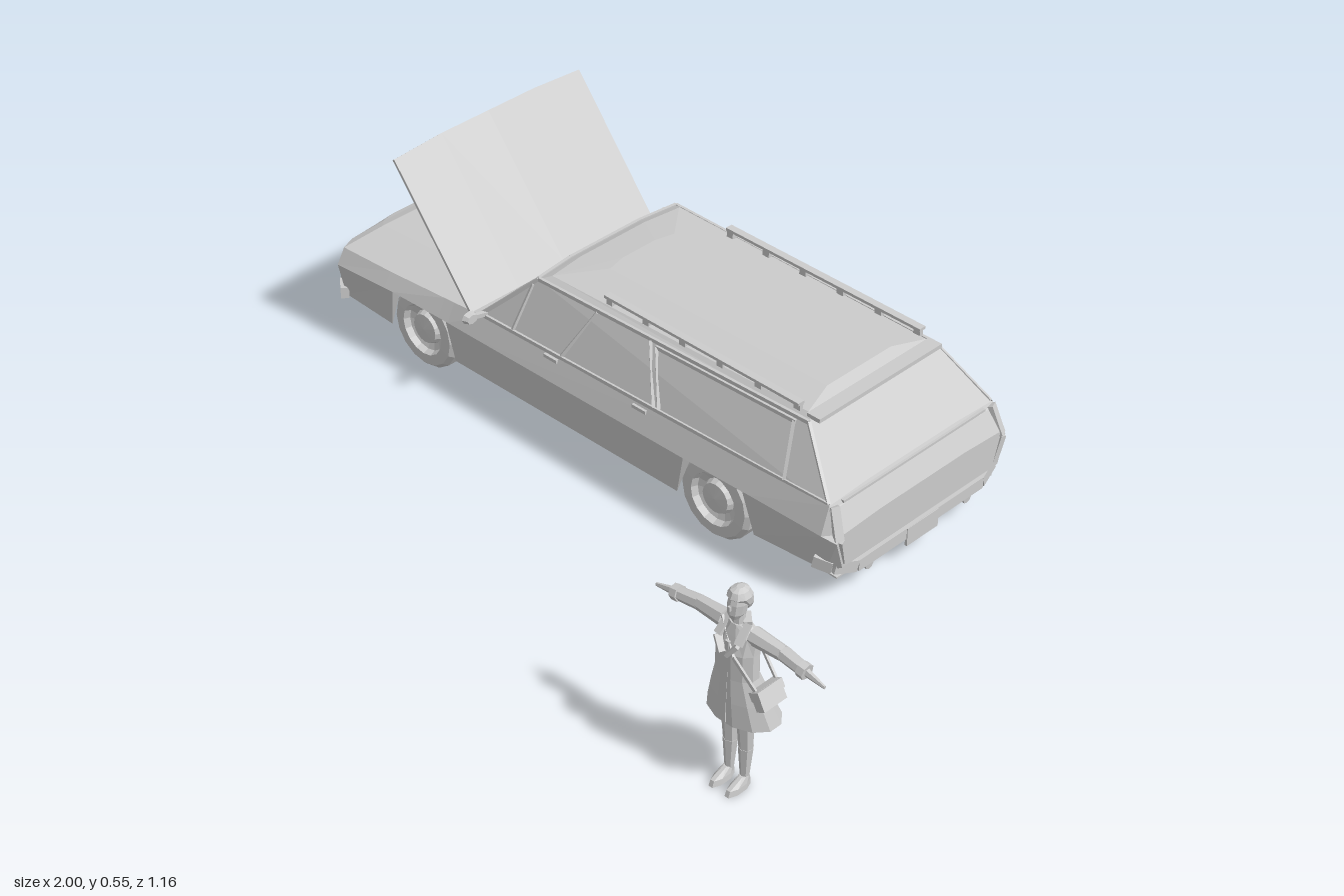
import * as THREE from 'three';

const mat = new THREE.MeshStandardMaterial({ color: 0xcccccc, flatShading: true, side: THREE.DoubleSide });
const V = (x, y, z) => new THREE.Vector3(x, y, z);

function add(parent, name, geo, x = 0, y = 0, z = 0) {
  const m = new THREE.Mesh(geo, mat);
  m.name = name;
  m.position.set(x, y, z);
  parent.add(m);
  return m;
}
const box = (p, name, w, h, d, x, y, z) => add(p, name, new THREE.BoxGeometry(w, h, d), x, y, z);

// Skin rings of [x, y, z] points, optionally joined round and capped with fans
function loft(rings, closed = true, capStart = true, capEnd = true) {
  const n = rings[0].length, pos = rings.flat(2), idx = [];
  for (let i = 0; i < rings.length - 1; i++)
    for (let j = 0; j < (closed ? n : n - 1); j++) {
      const a = i * n + j, b = i * n + (j + 1) % n;
      idx.push(a, a + n, b + n, a, b + n, b);
    }
  const cap = (r) => {
    const c = pos.length / 3;
    for (let k = 0; k < 3; k++) pos.push(rings[r].reduce((s, p) => s + p[k], 0) / n);
    for (let j = 0; j < n; j++) {
      const a = r * n + j, b = r * n + (j + 1) % n;
      if (r) idx.push(a, c, b); else idx.push(a, b, c);
    }
  };
  if (capStart) cap(0);
  if (capEnd) cap(rings.length - 1);
  const g = new THREE.BufferGeometry();
  g.setAttribute('position', new THREE.Float32BufferAttribute(pos, 3));
  g.setIndex(idx);
  g.computeVertexNormals();
  return g;
}

// Square bar from a to b
function bar(p, name, a, b, w, h) {
  const m = add(p, name, new THREE.BoxGeometry(w, h, a.distanceTo(b)));
  m.position.copy(a).lerp(b, 0.5);
  m.lookAt(b);
  return m;
}
// Chain of bars through points
const barPath = (p, name, pts, w, h) => pts.slice(1).forEach((q, i) => bar(p, name, pts[i], q, w, h));

// Tapered round limb from a to b
function limb(p, name, a, b, r0, r1, sides = 7) {
  const m = add(p, name, new THREE.CylinderGeometry(r1, r0, a.distanceTo(b), sides));
  m.position.copy(a).lerp(b, 0.5);
  m.quaternion.setFromUnitVectors(V(0, 1, 0), b.clone().sub(a).normalize());
  return m;
}

function makeCar() {
  const car = new THREE.Group();
  car.name = 'stationWagon';

  // Open-bottomed body shell: x, crease half width, bottom y, crease y, belt y
  const sections = [
    [-0.99, 0.15, 0.1, 0.16, 0.19], [-0.975, 0.24, 0.095, 0.163, 0.195], [-0.945, 0.288, 0.08, 0.17, 0.207],
    [-0.78, 0.291, 0.075, 0.183, 0.217], [-0.75, 0.291, 0.17, 0.185, 0.219],
    [-0.595, 0.291, 0.17, 0.188, 0.23], [-0.565, 0.291, 0.075, 0.188, 0.232],
    [-0.47, 0.291, 0.075, 0.188, 0.24], [0.13, 0.291, 0.075, 0.19, 0.245],
    [0.165, 0.291, 0.17, 0.19, 0.245], [0.315, 0.289, 0.17, 0.19, 0.247],
    [0.35, 0.288, 0.076, 0.19, 0.248], [0.545, 0.282, 0.085, 0.185, 0.25],
    [0.578, 0.27, 0.105, 0.175, 0.19]].map(([x, w, yb, yc, yt]) => {
    const half = [[yb, w - 0.02], [yc, w], [yt, w - 0.022], [yt + 0.006, w * 0.5]];
    return [...half.map(([y, z]) => [x, y, z]), ...half.reverse().map(([y, z]) => [x, y, -z])];
  });
  add(car, 'nose', loft(sections.slice(0, 8), false, true, false));
  add(car, 'tailgate', loft(sections.slice(12), false, false, true));
  for (const k of [0, 5])
    add(car, 'bodySide', loft(sections.slice(7, 13).map((r) => r.slice(k, k + 3)), false, false, false));
  bar(car, 'rearTray', V(0.33, 0.08, 0), V(0.565, 0.07, 0), 0.5, 0.004);

  // Cabin: y, rear x, front x, rear and front half width
  add(car, 'cabin', loft([[0.24, 0.552, -0.485, 0.262, 0.27], [0.37, 0.435, -0.345, 0.198, 0.216],
    [0.382, 0.415, -0.32, 0.185, 0.198], [0.392, 0.39, -0.24, 0.1, 0.1]].map(([y, r, f, wr, wf]) =>
    [[r, wr], [f, wf], [f - 0.012, wf / 2], [f - 0.012, -wf / 2], [f, -wf], [r, -wr]].map(([x, z]) => [x, y, z])),
  true, false, true));

  // Raised open hood, its outer strips bent down
  const hoodGeo = new THREE.BoxGeometry(0.384, 0.007, 0.57, 1, 1, 4);
  const hp = hoodGeo.attributes.position;
  for (let i = 0; i < hp.count; i++) {
    const t = Math.abs(hp.getZ(i)) / 0.285;
    hp.setY(i, hp.getY(i) + 0.005 * t);
    if (hp.getX(i) > 0 && t > 0.9) hp.setX(i, hp.getX(i) - 0.007);
  }
  add(car, 'openHood', hoodGeo, -0.61, 0.398, 0).rotation.z = Math.atan2(0.3, -0.24);

  // Windscreen and tailgate frames
  barPath(car, 'windscreenFrame', [V(-0.345, 0.371, 0.214), V(-0.357, 0.371, 0.108), V(-0.357, 0.371, -0.108), V(-0.345, 0.371, -0.214)], 0.008, 0.008);
  bar(car, 'airDeflector', V(0.435, 0.379, 0.192), V(0.435, 0.379, -0.192), 0.035, 0.01);
  bar(car, 'rearWindowSill', V(0.55, 0.247, 0.225), V(0.55, 0.247, -0.225), 0.008, 0.006);

  // Grille with upright slats
  box(car, 'grille', 0.008, 0.07, 0.26, -0.989, 0.147, 0);
  for (let i = 0; i < 13; i++) box(car, 'grilleSlat', 0.012, 0.073, 0.006, -0.991, 0.147, (i - 6) * 0.021);

  // Bumpers and plates, the ends swept up at the back
  const bumper = (name, pts) => barPath(car, name, [...pts.map(([x, y, z]) => V(x, y, z)),
    ...pts.reverse().map(([x, y, z]) => V(x, y, -z))], 0.02, 0.028);
  bumper('frontBumper', [[-0.935, 0.092, 0.28], [-0.972, 0.09, 0.25], [-0.988, 0.088, 0.14]]);
  bumper('rearBumper', [[0.52, 0.108, 0.272], [0.558, 0.1, 0.255], [0.572, 0.084, 0.2]]);
  box(car, 'frontPlate', 0.006, 0.045, 0.1, -0.997, 0.078, 0);
  box(car, 'rearPlate', 0.006, 0.045, 0.1, 0.581, 0.075, 0);

  // Wheel with sunken rim
  const wheelGeo = new THREE.LatheGeometry([[0, -0.035], [0.088, -0.035], [0.1, -0.024], [0.1, 0.024], [0.09, 0.035],
    [0.064, 0.037], [0.058, 0.022], [0.042, 0.016], [0.036, 0.03], [0, 0.034]].map((p) => new THREE.Vector2(...p)), 16);

  for (const s of [1, -1]) {
    for (const x of [-0.675, 0.235])
      add(car, 'wheel', wheelGeo, x, 0.108, s * 0.235).rotation.x = s * Math.PI / 2;

    // Pillars and window frames on the sloping cabin side
    const P = (x, y) => {
      const t = (y - 0.24) / 0.13, k = (x + 0.42) / 0.9;
      return V(x, y, s * (0.27 - 0.008 * k - t * (0.054 + 0.01 * k)));
    };
    const frames = [[-0.475, 0.245, -0.345, 0.37], [-0.345, 0.37, 0.43, 0.37], [-0.47, 0.244, 0.54, 0.25],
      [-0.375, 0.248, -0.355, 0.355], [-0.225, 0.248, -0.165, 0.365], [0.05, 0.248, -0.01, 0.366],
      [0.065, 0.25, 0.01, 0.36], [0.01, 0.36, 0.4, 0.36], [0.42, 0.25, 0.395, 0.36], [0.54, 0.25, 0.43, 0.37]];
    frames.forEach(([x0, y0, x1, y1]) => bar(car, 'windowFrame', P(x0, y0), P(x1, y1), 0.007, 0.009));

    // Roof rack rail on feet
    bar(car, 'roofRail', V(-0.16, 0.403, s * 0.19), V(0.4, 0.397, s * 0.19), 0.018, 0.007);
    for (let i = 0; i < 6; i++) box(car, 'railFoot', 0.018, 0.02, 0.01, -0.15 + i * 0.108, 0.389, s * 0.188);

    // Mirror, handles, lamps, exhaust
    bar(car, 'mirrorArm', V(-0.46, 0.248, s * 0.25), V(-0.47, 0.252, s * 0.295), 0.01, 0.01);
    const mirror = add(car, 'mirror', new THREE.CylinderGeometry(0.02, 0.015, 0.014, 8), -0.47, 0.252, s * 0.306);
    mirror.rotation.z = Math.PI / 2;
    mirror.scale.x = 0.75;
    for (const x of [-0.25, 0.02]) box(car, 'doorHandle', 0.04, 0.008, 0.01, x, 0.236, s * 0.272);
    const lamp = box(car, 'headlamp', 0.01, 0.045, 0.075, -0.984, 0.148, s * 0.19);
    lamp.rotation.y = s * 0.165;
    barPath(car, 'tailLamp', [V(0.57, 0.115, s * 0.243), V(0.575, 0.178, s * 0.26), V(0.55, 0.247, s * 0.25)], 0.02, 0.012);
    limb(car, 'exhaustPipe', V(0.33, 0.082, s * 0.158), V(0.575, 0.06, s * 0.158), 0.008, 0.012, 8);
  }
  return car;
}

function makeWoman() {
  const woman = new THREE.Group();
  woman.name = 'woman';

  // Horizontal oval sections: y, half width, half depth, depth offset
  const ovals = (rows, n) => loft(rows.map(([y, rx, rz, zc]) => Array.from({ length: n }, (_, i) => {
    const a = (i + 0.5) / n * Math.PI * 2;
    return [rx * Math.cos(a), y, zc + rz * Math.sin(a)];
  })));
  add(woman, 'coat', ovals([[0.175, 0.084, 0.058, -0.018], [0.23, 0.067, 0.046, -0.006], [0.285, 0.049, 0.034, 0.004],
    [0.345, 0.049, 0.034, 0.004], [0.38, 0.05, 0.026, 0], [0.402, 0.022, 0.018, 0]], 12));
  add(woman, 'neck', new THREE.CylinderGeometry(0.012, 0.014, 0.045, 8), 0, 0.41, 0.003);
  add(woman, 'head', ovals([[0.416, 0.009, 0.01, 0.014], [0.428, 0.017, 0.021, 0.008], [0.45, 0.02, 0.024, 0.004],
    [0.47, 0.017, 0.02, 0.002], [0.478, 0.007, 0.008, 0]], 10));
  add(woman, 'hair', ovals([[0.432, 0.014, 0.012, -0.012], [0.447, 0.022, 0.018, -0.008], [0.464, 0.024, 0.026, 0.002],
    [0.476, 0.017, 0.02, 0.002], [0.481, 0.007, 0.009, 0]], 10));
  box(woman, 'nose', 0.006, 0.01, 0.008, 0, 0.444, 0.028);
  bar(woman, 'coatOpening', V(0, 0.37, 0.032), V(0, 0.178, 0.038), 0.01, 0.006);

  for (const s of [1, -1]) {
    // Outstretched arms with cuffs and hands
    limb(woman, 'upperSleeve', V(s * 0.035, 0.385, 0), V(s * 0.105, 0.38, -0.004), 0.02, 0.016);
    limb(woman, 'lowerSleeve', V(s * 0.105, 0.38, -0.004), V(s * 0.165, 0.374, 0), 0.016, 0.014);
    limb(woman, 'cuff', V(s * 0.152, 0.376, 0), V(s * 0.168, 0.374, 0), 0.017, 0.017);
    const hand = limb(woman, 'hand', V(s * 0.165, 0.374, 0), V(s * 0.213, 0.366, 0.002), 0.01, 0.004, 6);
    hand.scale.z = 0.8;
    // Collar and lapels
    barPath(woman, 'collar', [V(s * 0.006, 0.345, 0.04), V(s * 0.026, 0.372, 0.032), V(s * 0.022, 0.405, 0.002), V(0, 0.408, -0.018)], 0.016, 0.008);
    // Legs and shoes
    limb(woman, 'lowerLeg', V(s * 0.02, 0.02, -0.002), V(s * 0.02, 0.1, -0.004), 0.009, 0.016);
    limb(woman, 'upperLeg', V(s * 0.02, 0.1, -0.004), V(s * 0.02, 0.2, 0), 0.015, 0.02);
    add(woman, 'shoe', ovals([[0.005, 0.013, 0.034, 0.018], [0.018, 0.012, 0.031, 0.016], [0.032, 0.009, 0.011, 0]], 8), s * 0.021);
  }

  // Shoulder bag and strap
  const bag = box(woman, 'bag', 0.022, 0.042, 0.062, 0.08, 0.27, 0.005);
  bag.rotation.z = 0.5;
  const flap = box(woman, 'bagFlap', 0.026, 0.02, 0.066, 0.076, 0.28, 0.005);
  flap.rotation.z = 0.5;
  for (const z of [0.038, -0.032])
    barPath(woman, 'bagStrap', [V(0.07, 0.288, z * 0.8), V(0.02, 0.345, z), V(-0.034, 0.4, z * 0.3)], 0.005, 0.007);
  return woman;
}

export function createModel() {
  const model = new THREE.Group();
  model.name = 'wagonAndWoman';
  const car = makeCar();
  car.position.z = -0.265;
  const woman = makeWoman();
  woman.position.set(0.785, 0, 0.52);
  model.add(car, woman);
  return model;
}
